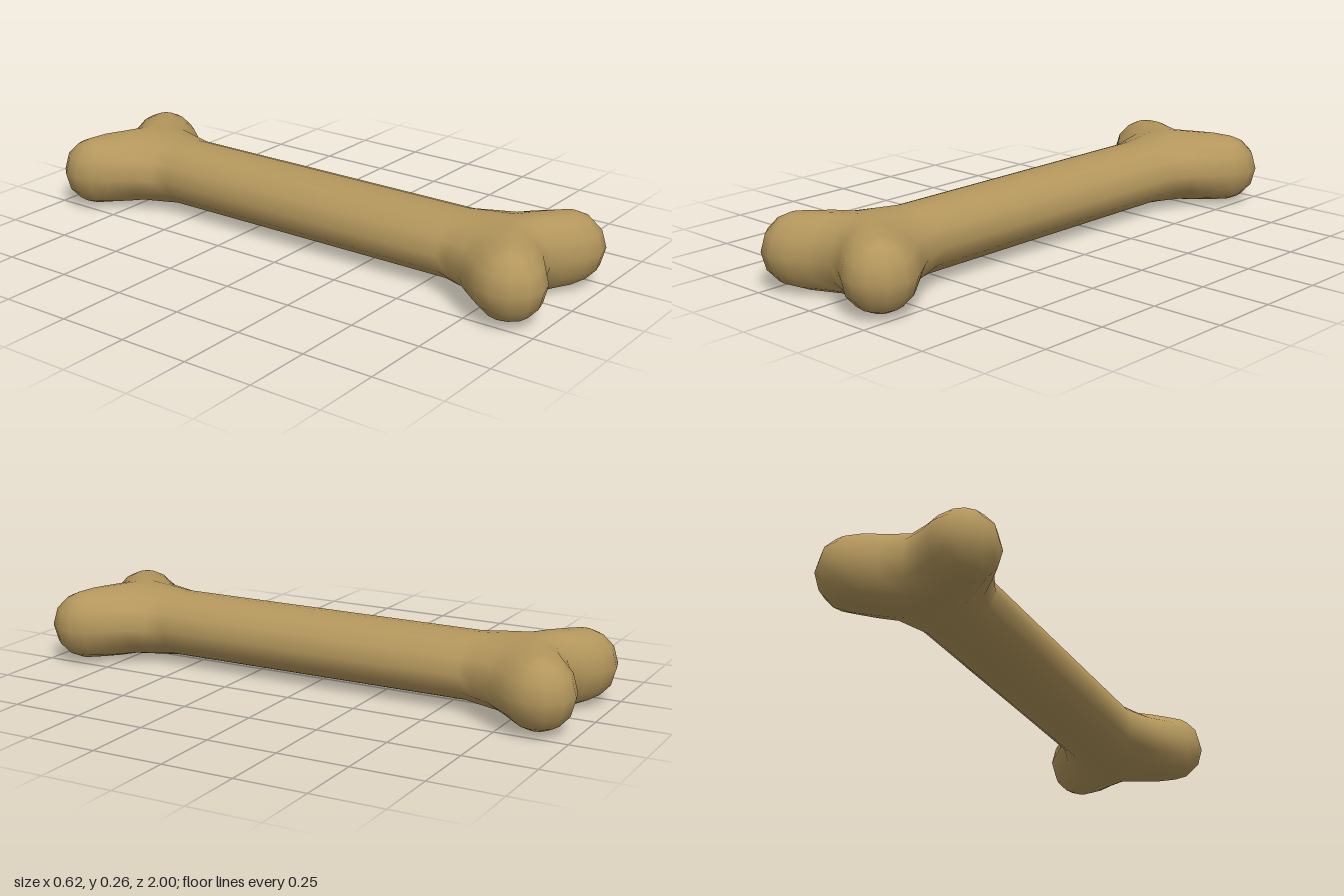
import * as THREE from 'three';
import { mergeVertices } from 'three/addons/utils/BufferGeometryUtils.js';

const MID = 0.134;

// Points on the inner spine: [x, z, half height]
const J = [0, 0.78, 0.131], A = [0.07, 0.815, 0.13], B = [0.13, 0.85, 0.127], L = [0.19, 0.875, 0.121];

// A quarter of the outline: [x, z, spine point it curves up to]
const QUARTER = [
  [0, 0.915, J], [0.07, 0.942, A], [0.13, 0.982, B],
  [0.19, 0.999, L], [0.25, 0.984, L], [0.294, 0.937, L], [0.309, 0.873, L], [0.291, 0.812, L],
  [0.258, 0.765, B], [0.226, 0.722, A], [0.197, 0.681, J],
  [0.174, 0.632, [0, 0.68, 0.124]], [0.15, 0.578, [0, 0.58, 0.116]], [0.15, 0, [0, 0, 0.116]],
];

// Rounding angles from the top of the spine to its underside
const ANGLES = [90, 75, 55, 30, 0, -30, -55, -75, -90].map(THREE.MathUtils.degToRad);

function flip(points, sx, sz) {
  return points.map(([x, z, s]) => [x * sx, z * sz, [s[0] * sx, s[1] * sz, s[2]]]);
}

function boneGeometry() {
  const back = QUARTER.slice(0, -1).reverse();
  const ring = [
    ...QUARTER, ...flip(back, 1, -1),
    ...flip(QUARTER.slice(1), -1, -1), ...flip(back.slice(0, -1), -1, 1),
  ];
  const rows = ANGLES.length, positions = [], index = [];
  ring.forEach(([x, z, [sx, sz, h]], i) => {
    const next = (i + 1) % ring.length;
    ANGLES.forEach((angle, j) => {
      const c = Math.cos(angle);
      positions.push(sx + (x - sx) * c, MID + h * Math.sin(angle), sz + (z - sz) * c);
      if (j === rows - 1) return;
      const a = i * rows + j, b = next * rows + j;
      if (j < rows - 2) index.push(a, a + 1, b + 1);
      else index.push(a, a + 1, b + 1);
      index.push(a, b + 1, b);
    });
  });
  const geometry = new THREE.BufferGeometry();
  geometry.setAttribute('position', new THREE.Float32BufferAttribute(positions, 3));
  geometry.setIndex(index);
  // Weld the spine so the shading runs smoothly across it
  const welded = mergeVertices(geometry, 1e-4);
  welded.computeVertexNormals();
  return welded;
}

export function createModel() {
  const group = new THREE.Group();
  group.name = 'bone';
  const tan = new THREE.MeshStandardMaterial({ color: 0xb3965c });
  tan.name = 'tan';
  const body = new THREE.Mesh(boneGeometry(), tan);
  body.name = 'boneBody';
  group.add(body);
  return group;
}
